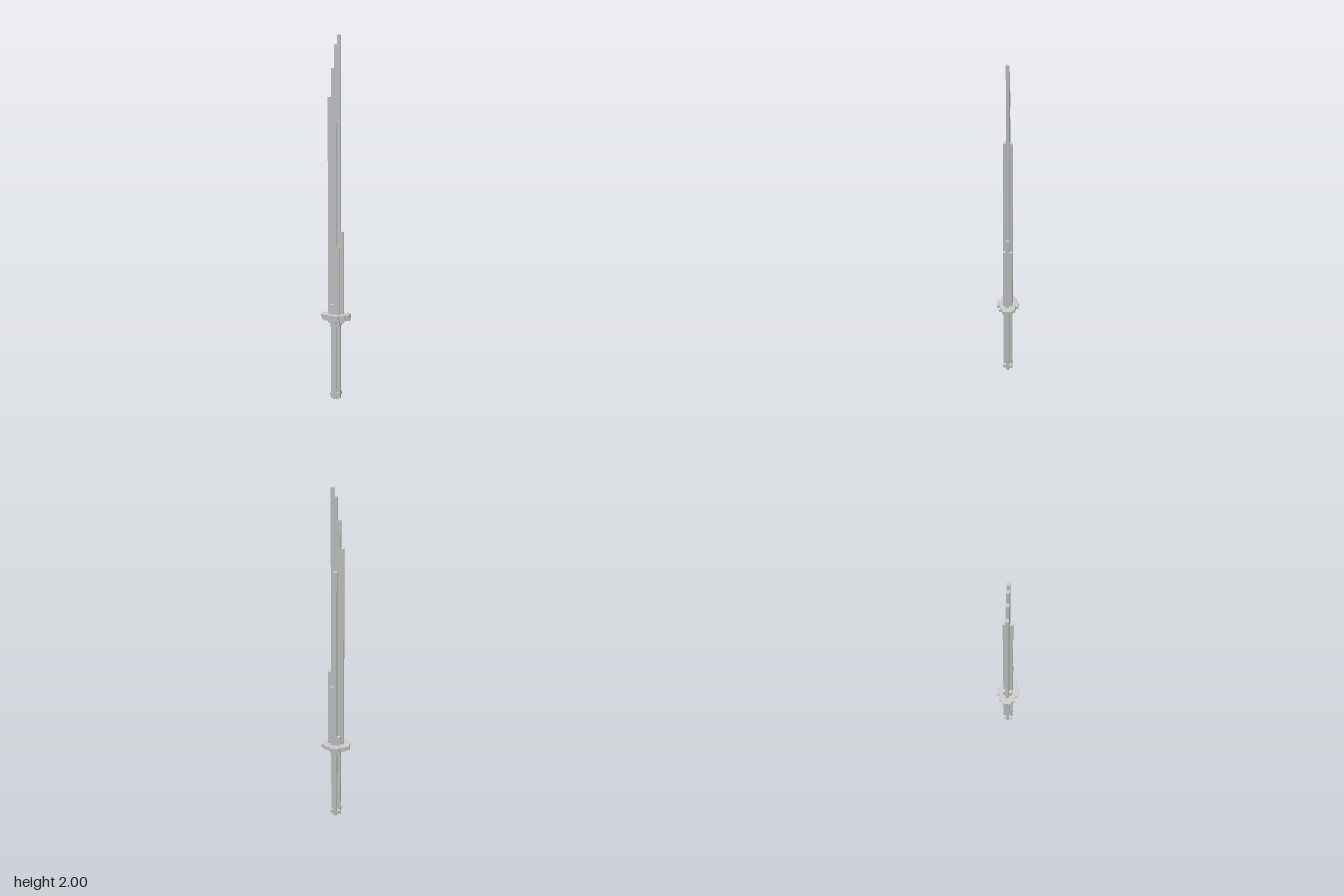
import * as THREE from 'three';

const V = 0.01755; // side of one block

export function createModel() {
  const sword = new THREE.Group();
  sword.name = 'sword';
  const material = new THREE.MeshStandardMaterial({ color: 0xcccccc, flatShading: true });

  // Upright bar: x0..x1 in blocks, half depth in blocks, y0..y1 in units
  function bar(name, x0, x1, halfZ, y0, y1) {
    const geo = new THREE.BoxGeometry((x1 - x0) * V, y1 - y0, halfZ * 2 * V);
    geo.translate(((x0 + x1) / 2) * V, (y0 + y1) / 2, 0);
    const mesh = new THREE.Mesh(geo, material);
    mesh.name = name;
    sword.add(mesh);
  }

  // Stepped plate: each step is [half width, half depth] in blocks, widest first
  function plate(name, steps, y0, y1) {
    const corners = [];
    steps.forEach(([x, z], i) => {
      corners.push([x, z]);
      if (steps[i + 1]) corners.push([steps[i + 1][0], z]);
    });
    const mirrored = corners.map(([x, z]) => [-x, z]).reverse();
    const half = [...corners, ...mirrored];
    const outline = [...half, ...half.map(([x, z]) => [-x, -z])];
    const shape = new THREE.Shape(outline.map(([x, z]) => new THREE.Vector2(x * V, z * V)));
    const geo = new THREE.ExtrudeGeometry(shape, { depth: y1 - y0, bevelEnabled: false });
    geo.rotateX(-Math.PI / 2);
    geo.translate(0, y0, 0);
    const mesh = new THREE.Mesh(geo, material);
    mesh.name = name;
    sword.add(mesh);
  }

  const cross = [[1.5, 0.5], [0.5, 1.5]];
  const square = [[1.5, 1.5]];

  // Pommel, grip and collar
  plate('pommelTip', cross, 0, 0.018);
  plate('pommel', square, 0.018, 0.036);
  plate('grip', cross, 0.036, 0.413);
  plate('collar', square, 0.413, 0.43);

  // Guard, three stepped layers
  plate('guardBase', [[2.5, 0.5], [1.5, 1.5], [0.5, 2.5]], 0.43, 0.446);
  plate('guardMiddle', [[4.5, 0.5], [3.5, 1.5], [1.5, 2.5]], 0.446, 0.463);
  plate('guardTop', [[4.5, 1.5], [3.5, 2.5], [1.5, 3.5]], 0.463, 0.481);

  // Blade columns, from the back of the blade to the cutting edge
  [1.67, 1.825, 1.95, 2, 0.94].forEach((top, i) => {
    bar('bladeColumn', i - 2.5, i - 1.5, 0.5, 0.481, top);
  });

  // Thicker ribs along the middle of the blade
  [0.535, 1.54, 0.853].forEach((top, i) => {
    bar('bladeRib', i - 1.5, i - 0.5, 1.5, 0.481, top);
  });

  return sword;
}
